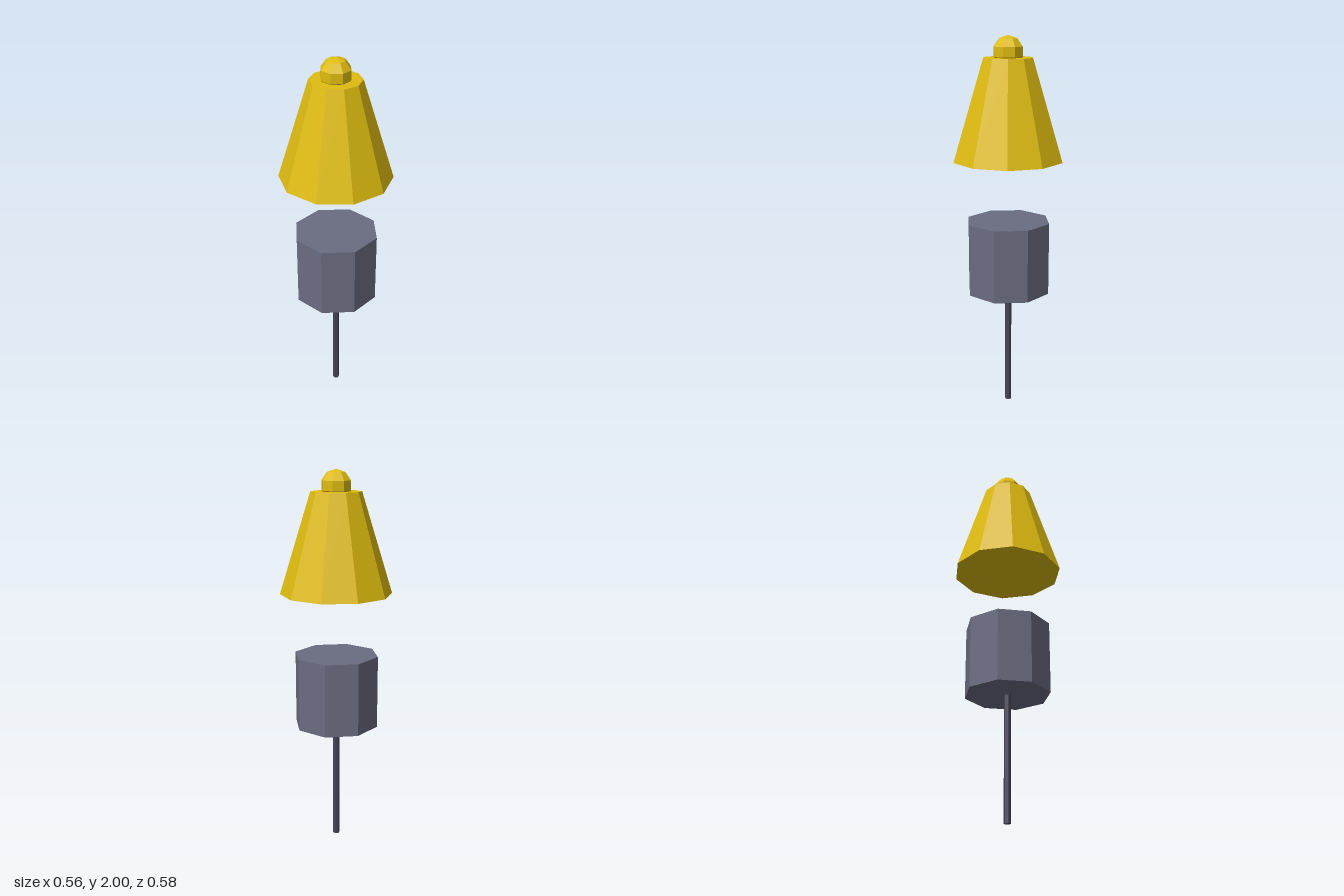
import * as THREE from 'three';

export function createModel() {
  const model = new THREE.Group();
  model.name = 'hangingBell';

  const material = (name, color) => {
    const m = new THREE.MeshStandardMaterial({ color, flatShading: true });
    m.name = name;
    return m;
  };
  const gold = material('gold', 0xdfbc10);
  const grey = material('slate grey', 0x6a6c80);
  const dark = material('dark iron', 0x444456);

  const add = (name, geometry, mat, y) => {
    const mesh = new THREE.Mesh(geometry, mat);
    mesh.name = name;
    mesh.position.y = y;
    model.add(mesh);
  };

  // Faceted prism or cone frustum between two heights
  const frustum = (name, rTop, rBottom, y0, y1, sides, mat) =>
    add(name, new THREE.CylinderGeometry(rTop, rBottom, y1 - y0, sides), mat, (y0 + y1) / 2);

  // Thin rod and the clapper block on top of it
  frustum('rod', 0.018, 0.018, 0, 0.655, 6, dark);
  frustum('clapper', 0.226, 0.226, 0.655, 1.043, 8, grey);

  // Ten-sided bell, closed below, with a round knob sunk into its crown
  frustum('bell', 0.131, 0.292, 1.37, 1.89, 10, gold);
  add('knob', new THREE.SphereGeometry(0.081, 8, 5), gold, 1.919);

  return model;
}
